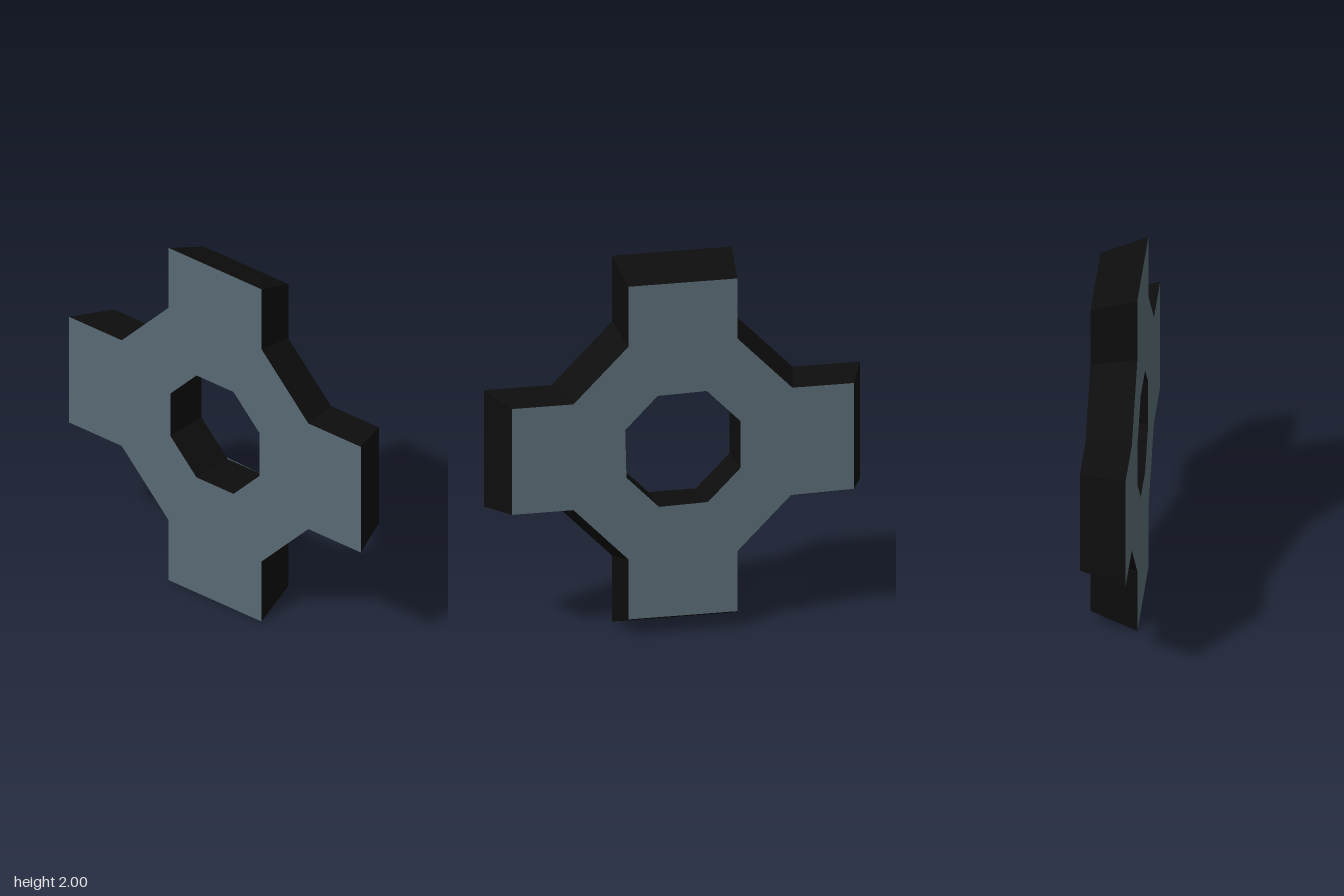
import * as THREE from 'three';

const DEPTH = 0.246;     // plate thickness
const BACK_SCALE = 0.909; // the outer rim tapers towards the back
const ARM = 0.318;       // half width of each arm
const NOTCH = 0.64;      // where each arm meets the body
const HOLE = 0.332;      // corner radius of the octagonal hole

export function createModel() {
  const face = new THREE.MeshStandardMaterial({ color: 0x586a73 });
  face.name = 'slateFace';
  const edge = new THREE.MeshStandardMaterial({ color: 0x0d0d0d });
  edge.name = 'blackEdge';

  // Cross outline: one arm repeated four times, joined by diagonals
  const arm = [[NOTCH, -ARM], [1, -ARM], [1, ARM], [NOTCH, ARM]];
  const outline = [];
  for (let i = 0; i < 4; i++) {
    for (const [x, y] of arm) {
      outline.push(new THREE.Vector2(x, y).rotateAround(new THREE.Vector2(), i * Math.PI / 2));
    }
  }
  const shape = new THREE.Shape(outline);

  // Octagonal centre hole with straight walls
  const hole = [];
  for (let i = 0; i < 8; i++) {
    const a = -(i + 0.5) * Math.PI / 4;
    hole.push(new THREE.Vector2(Math.cos(a) * HOLE, Math.sin(a) * HOLE));
  }
  shape.holes.push(new THREE.Path(hole));

  const geometry = new THREE.ExtrudeGeometry(shape, { depth: DEPTH, bevelEnabled: false });
  geometry.translate(0, 0, -DEPTH / 2);

  // Taper the rim: shrink the back outline only, leaving the hole alone
  const p = geometry.attributes.position;
  for (let i = 0; i < p.count; i++) {
    const x = p.getX(i), y = p.getY(i);
    if (p.getZ(i) < 0 && Math.hypot(x, y) > HOLE + 0.05) {
      p.setXY(i, x * BACK_SCALE, y * BACK_SCALE);
    }
  }
  geometry.computeVertexNormals();

  const plate = new THREE.Mesh(geometry, [face, edge]);
  plate.name = 'crossPlate';
  plate.position.y = 1;

  const group = new THREE.Group();
  group.name = 'taperedCross';
  group.add(plate);
  return group;
}
